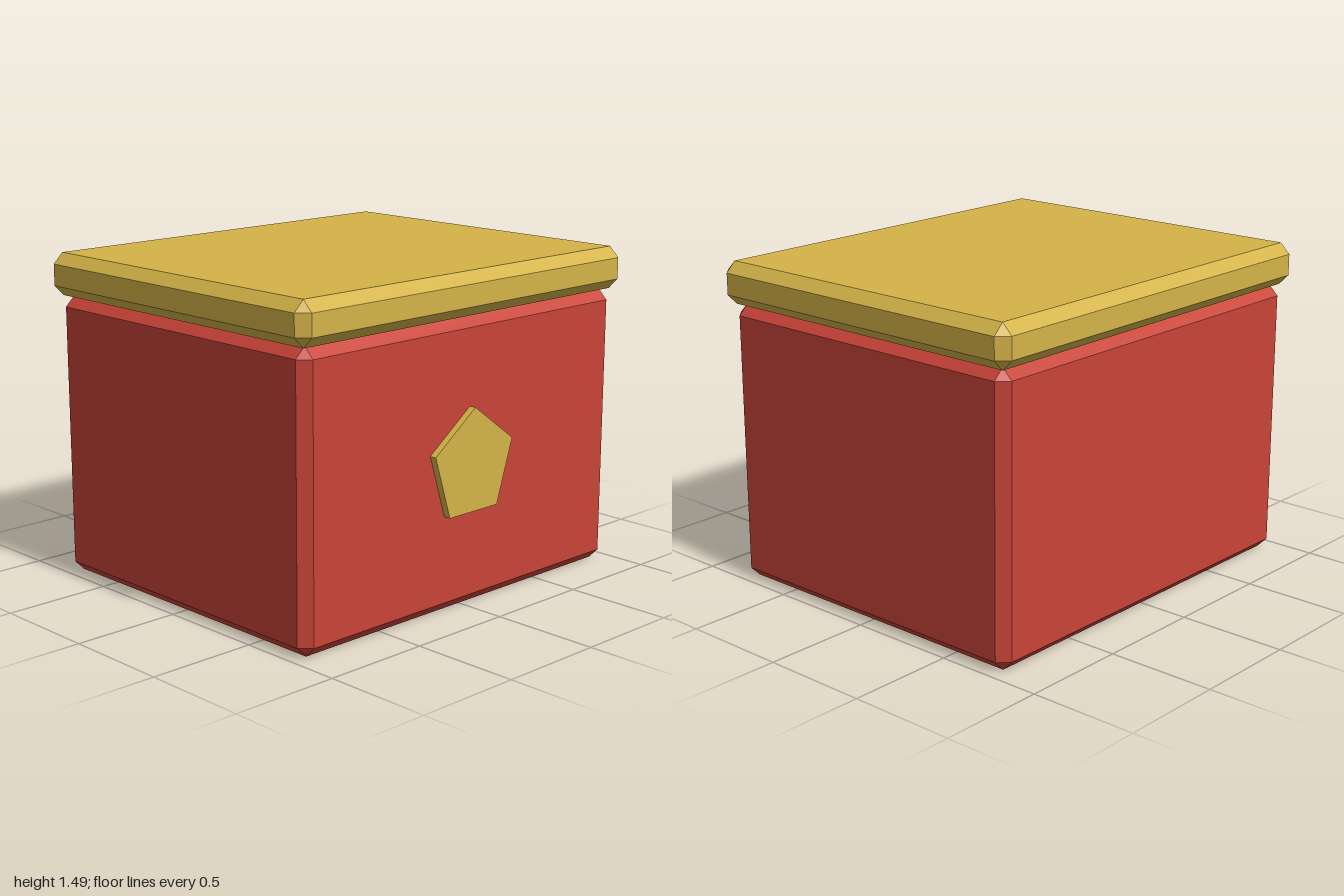
import * as THREE from 'three';
import { ConvexGeometry } from 'three/addons/geometries/ConvexGeometry.js';

// Box with every edge and corner cut flat by c
function chamferedBox(w, h, d, c) {
  const [x, y, z] = [w / 2, h / 2, d / 2];
  const points = [];
  for (const sx of [-1, 1]) for (const sy of [-1, 1]) for (const sz of [-1, 1]) {
    points.push(
      new THREE.Vector3(sx * x, sy * (y - c), sz * (z - c)),
      new THREE.Vector3(sx * (x - c), sy * y, sz * (z - c)),
      new THREE.Vector3(sx * (x - c), sy * (y - c), sz * z),
    );
  }
  return new ConvexGeometry(points);
}

export function createModel() {
  const red = new THREE.MeshStandardMaterial({ color: 0xc94438 });
  red.name = 'red';
  const gold = new THREE.MeshStandardMaterial({ color: 0xd4b348 });
  gold.name = 'gold';

  const model = new THREE.Group();
  model.name = 'box';
  const add = (name, geometry, material, y, z = 0) => {
    const mesh = new THREE.Mesh(geometry, material);
    mesh.name = name;
    mesh.position.set(0, y, z);
    model.add(mesh);
  };

  // Box body and overhanging lid
  add('body', chamferedBox(1.93, 1.294, 1.614, 0.048), red, 0.647);
  add('lid', chamferedBox(2, 0.194, 1.678, 0.048), gold, 1.391);

  // Five-sided clasp on the front, one corner up
  const clasp = new THREE.CylinderGeometry(0.256, 0.256, 0.064, 5, 1, false, Math.PI)
    .rotateX(Math.PI / 2).toNonIndexed();
  clasp.computeVertexNormals();
  add('clasp', clasp, gold, 0.647, 0.807);

  return model;
}
